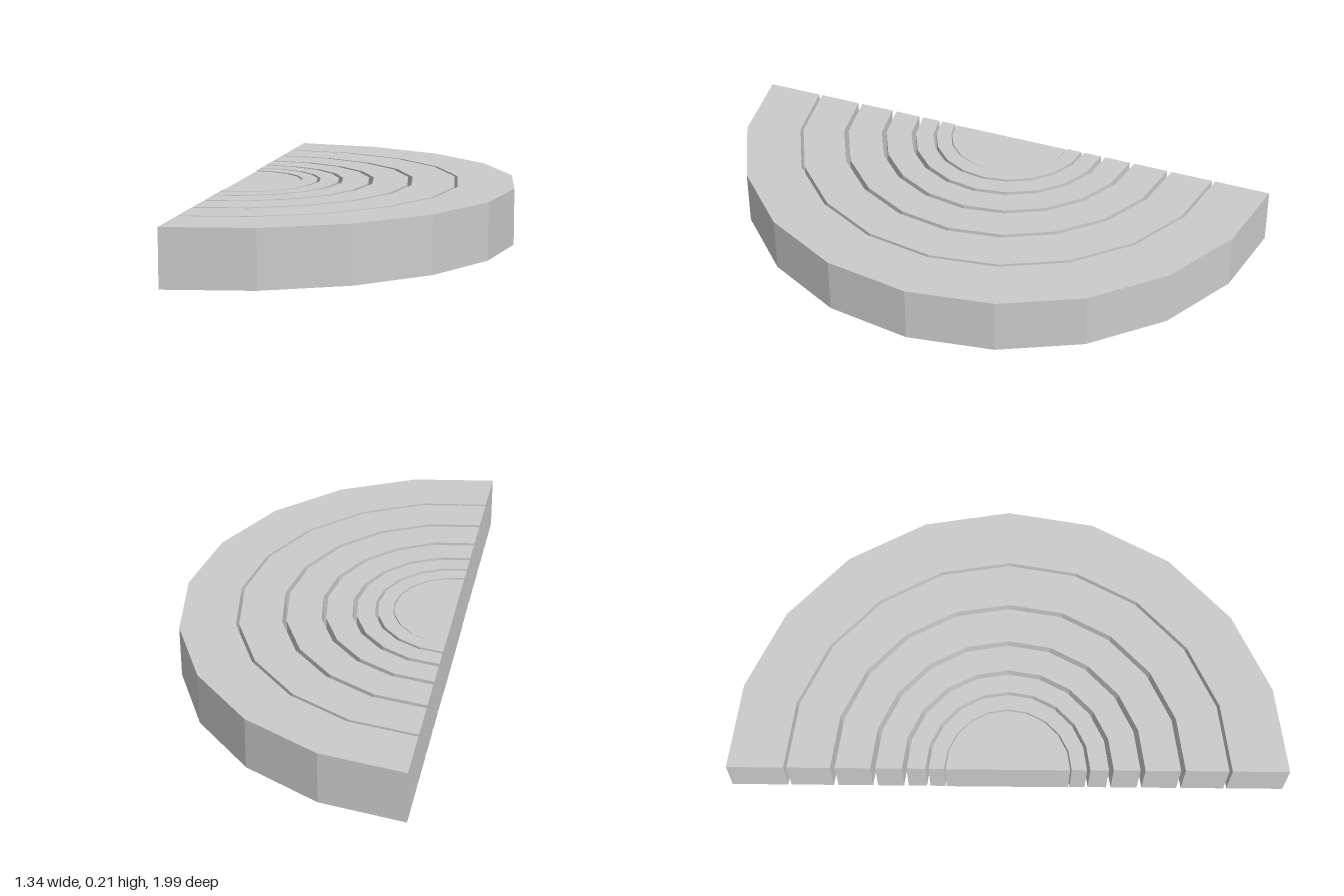
import * as THREE from 'three';

const SEGMENTS = 10;                       // half of a 20-sided polygon
const START = THREE.MathUtils.degToRad(-108);
const CENTER_X = -0.355, CENTER_Z = -0.0275;

// Half-ring outline, counter-clockwise; inner = 0 gives a half disc
function halfRing(inner, outer) {
  const arc = (r) => Array.from({ length: SEGMENTS + 1 }, (_, i) => {
    const a = START + (i / SEGMENTS) * Math.PI;
    return new THREE.Vector2(r * Math.cos(a), r * Math.sin(a));
  });
  return new THREE.Shape(inner > 0 ? [...arc(outer), ...arc(inner).reverse()] : arc(outer));
}

export function createModel() {
  const group = new THREE.Group();
  group.name = 'halfRingSet';
  const material = new THREE.MeshStandardMaterial({ color: 0xcccccc, flatShading: true });

  function addSlab(name, inner, outer, bottom, top) {
    const geometry = new THREE.ExtrudeGeometry(halfRing(inner, outer), {
      depth: top - bottom, bevelEnabled: false,
    });
    geometry.rotateX(-Math.PI / 2);
    const mesh = new THREE.Mesh(geometry, material);
    mesh.name = name;
    mesh.position.set(CENTER_X, bottom, CENTER_Z);
    group.add(mesh);
  }

  // Core half disc, sitting slightly lower than the rings
  addSlab('coreHalfDisc', 0, 0.226, 0, 0.207);

  // Concentric half rings separated by narrow gaps: [inner, outer]
  const rings = [
    [0.231, 0.287], [0.299, 0.367], [0.384, 0.481],
    [0.499, 0.628], [0.645, 0.803], [0.815, 1.0225],
  ];
  rings.forEach(([inner, outer], i) => addSlab(`halfRing${i + 1}`, inner, outer, 0.004, 0.21));

  return group;
}
